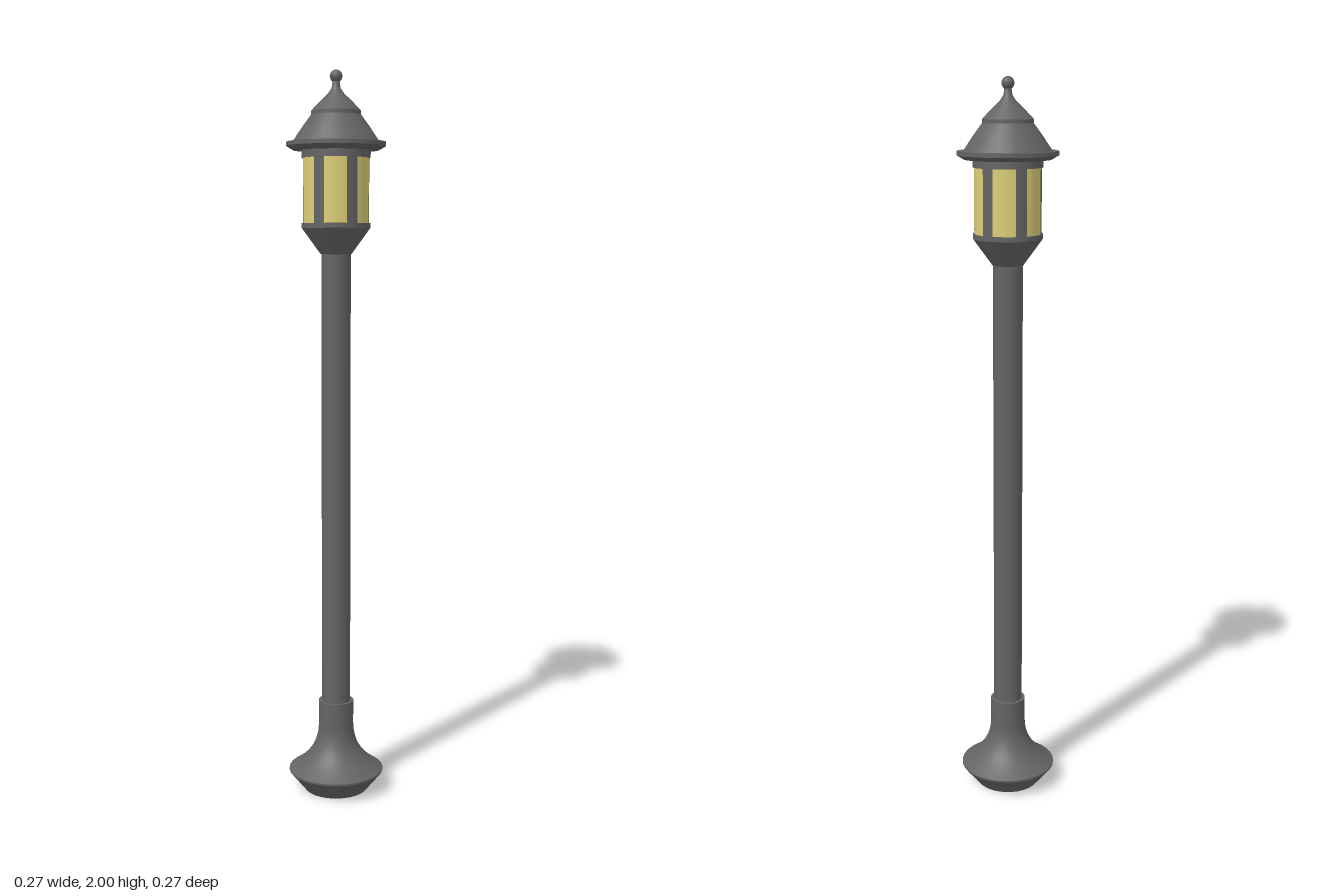
import * as THREE from 'three';

const SEG = 32;
const metal = new THREE.MeshStandardMaterial({ color: 0x646464 });
const glass = new THREE.MeshStandardMaterial({ color: 0xdccf76 });

export function createModel() {
  const model = new THREE.Group();

  const add = (parent, name, geometry, material = metal) => {
    const mesh = new THREE.Mesh(geometry, material);
    mesh.name = name;
    parent.add(mesh);
    return mesh;
  };

  // Revolved part: each run of [radius, y] points is smooth, with a crisp edge between runs
  const turned = (name, runs) => {
    const group = new THREE.Group();
    group.name = name;
    runs.forEach((run, i) => {
      const points = run.map(([r, y]) => new THREE.Vector2(r, y));
      add(group, `${name}Surface${i + 1}`, new THREE.LatheGeometry(points, SEG));
    });
    model.add(group);
  };

  // Straight-sided profile: every segment is its own crisp run
  const crisp = (points) => points.slice(1).map((p, i) => [points[i], p]);

  // Flared foot with a bevelled underside and a collar around the pole
  const flare = new THREE.CubicBezierCurve(
    new THREE.Vector2(0.133, 0.06), new THREE.Vector2(0.085, 0.09),
    new THREE.Vector2(0.05, 0.125), new THREE.Vector2(0.049, 0.19)
  ).getPoints(10).map((p) => [p.x, p.y]);
  turned('base', [
    ...crisp([[0, 0], [0.088, 0], [0.133, 0.055], [0.133, 0.06]]),
    [...flare, [0.049, 0.26]],
    [[0.049, 0.26], [0.038, 0.26]],
  ]);

  // Pole
  const pole = add(model, 'pole', new THREE.CylinderGeometry(0.04, 0.04, 1.28, SEG, 1, true));
  pole.position.y = 0.89;

  // Cup under the lantern
  turned('lanternCup', crisp([
    [0, 1.515], [0.042, 1.515], [0.093, 1.585], [0.093, 1.598], [0, 1.598],
  ]));

  // Lantern: six curved panes separated by posts, one post facing front
  const lantern = new THREE.Group();
  lantern.name = 'lantern';
  const deg = Math.PI / 180;
  const wall = (name, radius, centre, width, material) => {
    const mesh = add(lantern, name, new THREE.CylinderGeometry(
      radius, radius, 0.176, 8, 1, true, (centre - width / 2) * deg, width * deg), material);
    mesh.position.y = 1.684;
  };
  for (let i = 0; i < 6; i++) {
    wall(`lanternPost${i + 1}`, 0.089, i * 60, 20, metal);
    wall(`glassPane${i + 1}`, 0.089, i * 60 + 30, 40, glass);
  }
  model.add(lantern);

  // Band above the glass
  turned('lanternBand', crisp([[0, 1.77], [0.093, 1.77], [0.093, 1.792]]));

  // Roof: brim, lower slope, step and upper cone running into the finial neck
  turned('roof', [
    ...crisp([[0, 1.79], [0.115, 1.79], [0.134, 1.801], [0.134, 1.812], [0.117, 1.812]]),
    [[0.117, 1.812], [0.09, 1.852], [0.067, 1.883]],
    [[0.067, 1.883], [0.067, 1.893]],
    [[0.067, 1.893], [0.045, 1.916], [0.022, 1.938], [0.012, 1.952], [0.009, 1.972]],
  ]);

  // Ball finial
  const finial = add(model, 'finial', new THREE.SphereGeometry(0.017, 24, 16));
  finial.position.y = 1.983;

  return model;
}
